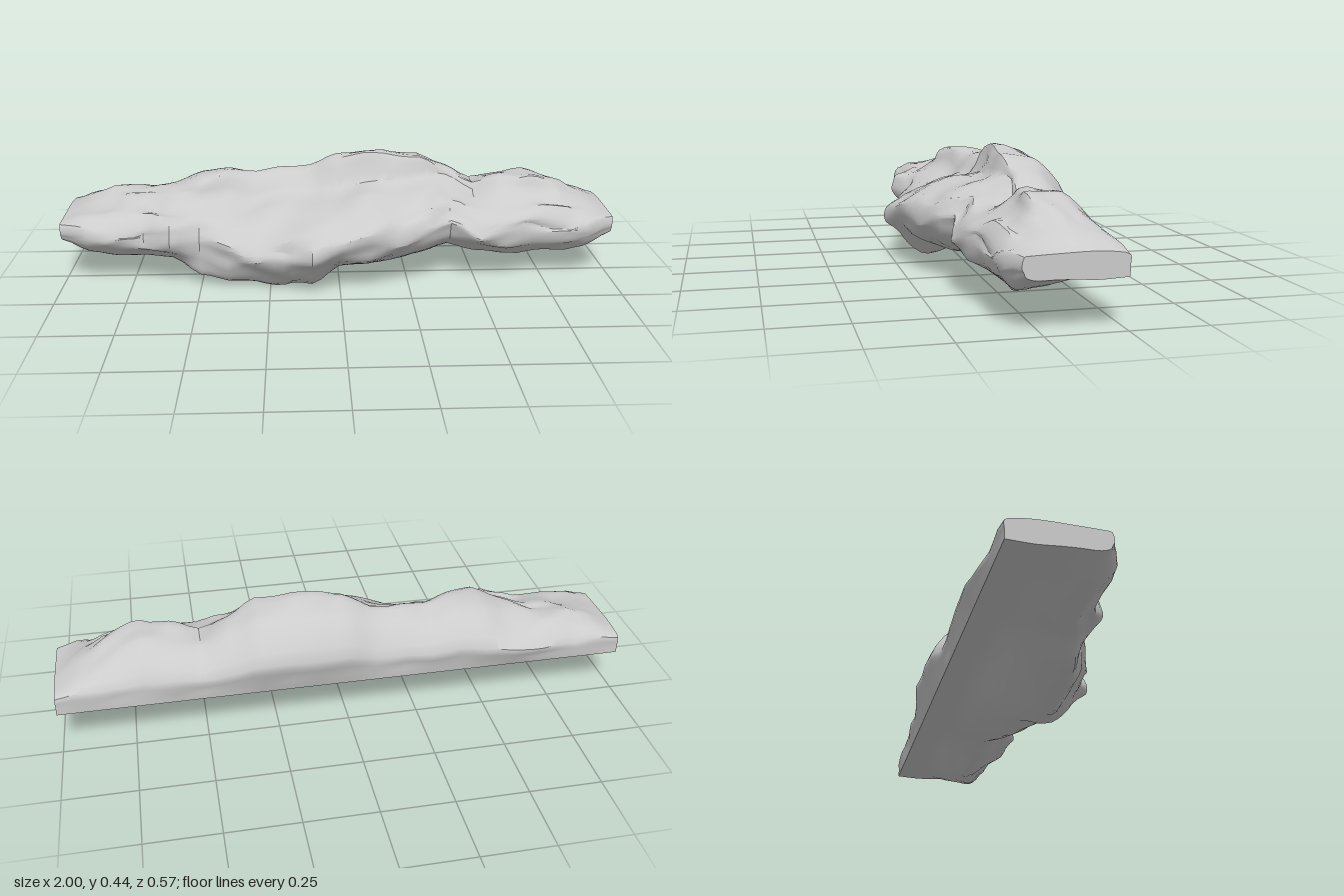
import * as THREE from 'three';
import { toCreasedNormals, mergeVertices } from 'three/addons/utils/BufferGeometryUtils.js';

// Tracks sampled every 0.1 from x = -1 to x = 1
const TOP = [.235, .275, .30, .30, .32, .36, .37, .355, .37, .37, .42, .435, .43, .43, .38, .325, .35, .36, .33, .28, .235];
const BOTTOM = [.16, .12, .10, .10, .10, .05, .015, .015, 0, .01, .05, .065, .08, .10, .12, .09, .07, .075, .09, .11, .16];
const FRONT = [.07, .11, .12, .11, .16, .13, .17, .20, .22, .275, .25, .235, .215, .18, .12, .145, .15, .11, .11, .105, .065];
const BACK = [-.25, -.255, -.26, -.265, -.275, -.27, -.27, -.265, -.26, -.26, -.28, -.283, -.28, -.283, -.265, -.26, -.26, -.255, -.255, -.255, -.25];
const RIDGE = [-.12, -.12, -.12, -.1, -.04, -.02, -.05, -.08, -.1, -.1, -.09, -.08, -.08, -.07, -.08, -.06, -.03, -.02, -.03, -.06, -.12];
const KEEL = [.03, .05, .05, .05, .07, .1, .12, .11, .11, .11, .08, .08, .06, .04, 0, 0, 0, 0, .02, .04, .03];
const CLIFF = [0, 0, 0, .1, .3, .6, .7, .8, .8, .9, 1, 1, 1, 1, .6, .3, .3, .4, .4, .1, 0];
// Height of the foremost point between bottom and top
const NOSE = [.45, .42, .4, .4, .4, .36, .36, .36, .38, .42, .36, .34, .32, .34, .36, .42, .44, .42, .4, .4, .45];

const mix = THREE.MathUtils.lerp;

// Smooth value of a track at x
function sample(track, x) {
  const u = (x + 1) * 10;
  const i = Math.min(19, Math.floor(u));
  const t = u - i;
  return mix(track[i], track[i + 1], mix(t, t * t * (3 - 2 * t), 0.5));
}

// Repeatable lattice noise in -1..1
function hash(i, j) {
  const s = Math.sin(i * 127.1 + j * 311.7) * 43758.5453;
  return (s - Math.floor(s)) * 2 - 1;
}
function noise(x, y) {
  const i = Math.floor(x), j = Math.floor(y);
  const a = mix(hash(i, j), hash(i + 1, j), x - i);
  const b = mix(hash(i, j + 1), hash(i + 1, j + 1), x - i);
  return mix(a, b, y - j);
}

// Cross-section loop: up the back, over the ridge, down the front, under to the flat base
function section(x, count) {
  const [top, bottom, front, back, ridge, keel, cliff, noseLevel] =
    [TOP, BOTTOM, FRONT, BACK, RIDGE, KEEL, CLIFF, NOSE].map((t) => sample(t, x));
  // The outermost ends square off into a slab
  const block = Math.max(0, 1 - (1 - Math.abs(x)) * 6);
  const shoulder = mix(mix(.16, top, .45), top - .015, block);
  const nose = mix(bottom, top, noseLevel);
  const slope = (across, drop) => [mix(ridge, front, mix(across, 1, block * .3 * across)), mix(top, nose, drop * (1 - block * .75))];
  const points = [
    [-.25, .157],
    [mix(-.25, back, .6), mix(.16, shoulder, .5)],
    [back, shoulder],
    [mix(back, ridge, .4), mix(shoulder, top, .8)],
    [mix(back, ridge, .7), mix(shoulder, top, .97)],
    [ridge, top],
    slope(.16, mix(.1, .36, cliff)),
    slope(.5, mix(.32, .5, cliff)),
    slope(.8, mix(.52, .65, cliff)),
    slope(.95, .8),
    [front, nose],
    [mix(front, keel, .16), mix(nose, bottom, .34)],
    [mix(front, keel, mix(.53, .3, block)), mix(nose, bottom, .7)],
    [keel, bottom],
    [mix(keel, -.14, .35), mix(bottom, .155, .15)],
    [mix(keel, -.14, .68), mix(bottom, .155, .48)],
    [-.16, .153],
    [-.25, .157],
  ].map(([z, y]) => new THREE.Vector3(x, y, z));
  const curve = new THREE.CatmullRomCurve3(points, false, 'centripetal');
  const calm = Math.min(1, (1 - Math.abs(x)) * 6);
  return Array.from({ length: count }, (_, j) => {
    const t = j / count;
    const p = curve.getPoint(t);
    // Rugged on top and in front, even along the base and back
    const amount = calm * Math.sin(Math.PI * Math.min(1, t / .94)) * .017;
    p.y += noise(x * 12 + 50, t * 20) * amount;
    p.z += noise(x * 10 + 90, t * 18 + 40) * amount;
    p.y = Math.max(0, p.y);
    return p;
  });
}

function rockGeometry() {
  const rows = 60, ring = 51;
  const positions = [], indices = [];
  for (let i = 0; i <= rows; i++) {
    for (const p of section(-1 + 2 * i / rows, ring)) positions.push(p.x, p.y, p.z);
  }
  for (let i = 0; i < rows; i++) {
    for (let j = 0; j < ring; j++) {
      const a = i * ring + j, b = i * ring + (j + 1) % ring;
      indices.push(a, b, a + ring, b, b + ring, a + ring);
    }
  }
  // Flat end caps
  for (const [x, start] of [[-1, 0], [1, rows * ring]]) {
    const center = positions.length / 3;
    positions.push(x, .195, -.09);
    for (let j = 0; j < ring; j++) {
      const a = start + j, b = start + (j + 1) % ring;
      if (x < 0) indices.push(center, b, a);
      else indices.push(center, a, b);
    }
  }
  const geometry = new THREE.BufferGeometry();
  geometry.setAttribute('position', new THREE.Float32BufferAttribute(positions, 3));
  geometry.setIndex(indices);
  return toCreasedNormals(mergeVertices(geometry), 0.6);
}

export function createModel() {
  const group = new THREE.Group();
  group.name = 'rockLedge';
  const material = new THREE.MeshStandardMaterial({ color: 0xcccccc });
  const rock = new THREE.Mesh(rockGeometry(), material);
  rock.name = 'ledgeRock';
  group.add(rock);
  return group;
}
